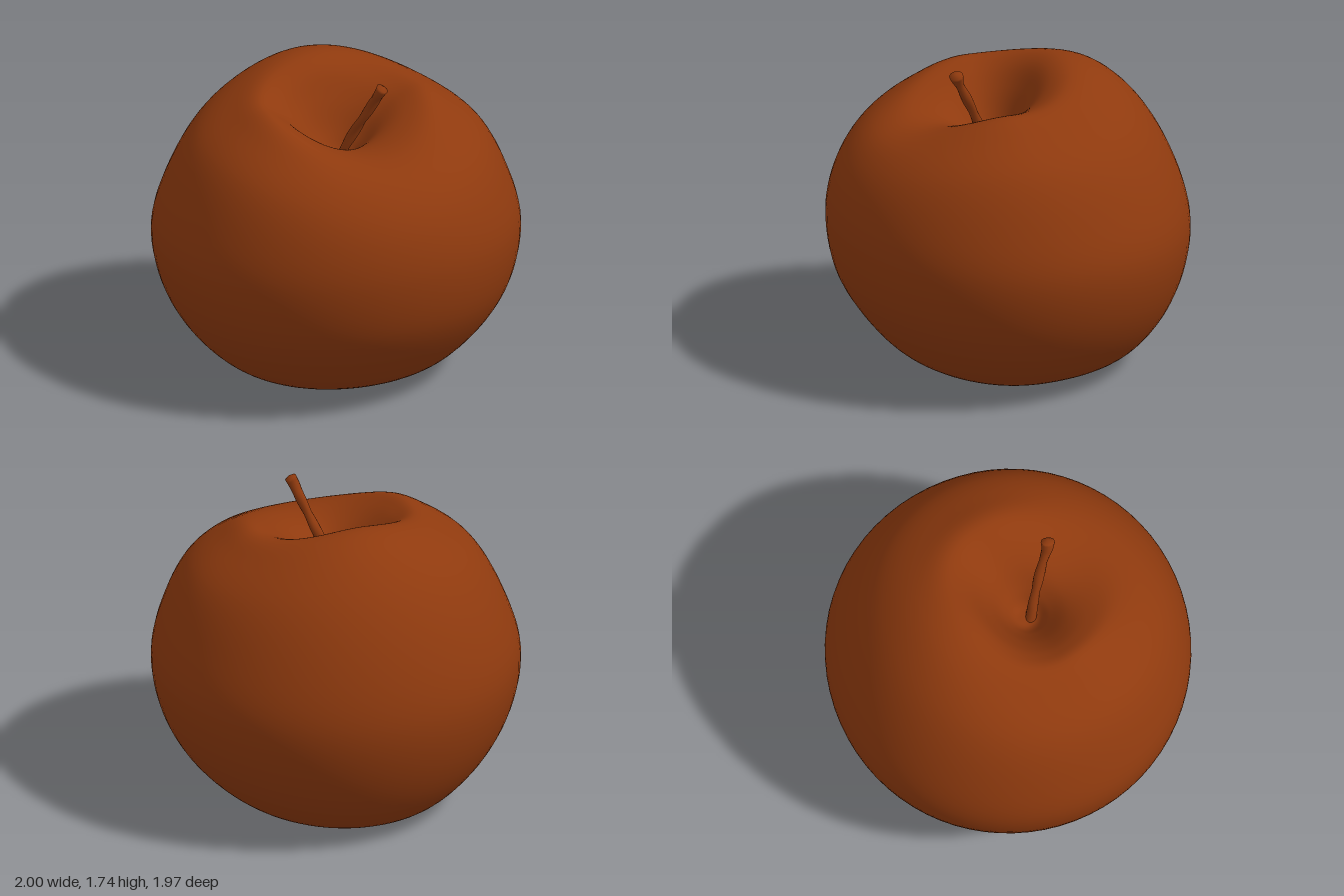
import * as THREE from 'three';
import { mergeVertices } from 'three/addons/utils/BufferGeometryUtils.js';

const skin = new THREE.MeshStandardMaterial({ color: 0x8f3a0e });
skin.name = 'russetBrown';

// Meridian rows from stem hollow to calyx basin:
// centre x, centre z, then [z or x reach, height] for front, back and side
const ROWS = [
  [-0.03, 0.1, [0.1, 1.24], [0.1, 1.24], [0, 1.24]],
  [-0.03, 0.1, [0.16, 1.25], [0.04, 1.26], [0.06, 1.25]],
  [-0.03, 0.1, [0.22, 1.32], [-0.02, 1.34], [0.13, 1.33]],
  [-0.03, 0.1, [0.31, 1.39], [-0.11, 1.51], [0.24, 1.46]],
  [-0.02, 0.09, [0.45, 1.425], [-0.21, 1.65], [0.35, 1.55]],
  [0, 0.08, [0.6, 1.42], [-0.32, 1.695], [0.46, 1.59]],
  [0, 0.06, [0.75, 1.36], [-0.49, 1.655], [0.61, 1.51]],
  [0, 0.04, [0.87, 1.24], [-0.7, 1.48], [0.79, 1.36]],
  [0, 0.02, [0.95, 1.08], [-0.88, 1.18], [0.93, 1.09]],
  [0, 0, [0.985, 0.86], [-0.98, 0.83], [1.0, 0.82]],
  [0, 0, [0.94, 0.57], [-0.95, 0.54], [0.95, 0.53]],
  [0, 0, [0.82, 0.35], [-0.83, 0.26], [0.81, 0.28]],
  [0, 0, [0.62, 0.13], [-0.66, 0.075], [0.6, 0.085]],
  [0, 0, [0.4, 0.025], [-0.46, 0.02], [0.4, 0.01]],
  [-0.03, 0.02, [0.26, 0.025], [-0.24, 0.04], [0.25, 0.03]],
  [-0.04, 0.03, [0.15, 0.1], [-0.1, 0.11], [0.13, 0.1]],
  [-0.04, 0.03, [0.03, 0.15], [0.03, 0.15], [0, 0.15]],
];

// Blend the front, back and side meridians into one curve at a given angle
function meridian(angle) {
  const s = Math.sin(angle), c = Math.cos(angle);
  return new THREE.CatmullRomCurve3(ROWS.map(([cx, cz, front, back, side]) => {
    const end = c >= 0 ? front : back;
    const r = Math.abs(end[0] - cz) * c * c + side[0] * s * s;
    const y = end[1] * c * c + side[1] * s * s;
    return new THREE.Vector3(cx + r * s, y, cz + r * c);
  }));
}

function fruitGeometry(around = 72, along = 96) {
  const pos = [], index = [];
  for (let j = 0; j < around; j++) {
    const curve = meridian((j / around) * Math.PI * 2);
    for (let i = 0; i <= along; i++) pos.push(...curve.getPoint(i / along).toArray());
  }
  const id = (i, j) => (j % around) * (along + 1) + i;
  for (let j = 0; j < around; j++) {
    for (let i = 0; i < along; i++) {
      const a = id(i, j), b = id(i + 1, j), c = id(i + 1, j + 1), d = id(i, j + 1);
      if (i < along - 1) index.push(a, b, c);
      if (i > 0) index.push(a, c, d);
    }
  }
  const geo = new THREE.BufferGeometry();
  geo.setAttribute('position', new THREE.Float32BufferAttribute(pos, 3));
  geo.setIndex(index);
  const merged = mergeVertices(geo, 1e-5);
  merged.computeVertexNormals();
  return merged;
}

// Tube whose thickness follows a rule along its length
function taperedTube(points, steps, sides, thickness) {
  const curve = new THREE.CatmullRomCurve3(points.map((p) => new THREE.Vector3(...p)));
  const geo = new THREE.TubeGeometry(curve, steps, 1, sides);
  const pos = geo.attributes.position, v = new THREE.Vector3();
  for (let i = 0; i < pos.count; i++) {
    const t = Math.floor(i / (sides + 1)) / steps;
    const angle = ((i % (sides + 1)) / sides) * Math.PI * 2;
    const centre = curve.getPointAt(t);
    v.fromBufferAttribute(pos, i).sub(centre).multiplyScalar(thickness(t, angle)).add(centre);
    pos.setXYZ(i, v.x, v.y, v.z);
  }
  geo.deleteAttribute('uv');
  geo.deleteAttribute('normal');
  const merged = mergeVertices(geo, 1e-5);
  merged.computeVertexNormals();
  return merged;
}

export function createModel() {
  const model = new THREE.Group();
  model.name = 'apple';
  const add = (name, geo, parent = model) => {
    const mesh = new THREE.Mesh(geo, skin);
    mesh.name = name;
    parent.add(mesh);
    return mesh;
  };

  add('fruit', fruitGeometry());

  // Leaning woody stem with a knobbly, flared tip
  add('stem', taperedTube(
    [[-0.04, 1.22, 0.12], [-0.01, 1.34, 0.155], [0.04, 1.48, 0.215], [0.09, 1.62, 0.285], [0.115, 1.7, 0.325], [0.135, 1.745, 0.34]],
    40, 12,
    (t, a) => (t >= 1 ? 0 : 0.026 + 0.012 * Math.max(0, t - 0.85) / 0.15
      + 0.008 * Math.max(0, 1 - t * 6) + 0.003 * Math.sin(2 * a + t * 17)),
  ));

  // Withered sepals curling inside the basin underneath
  const calyx = new THREE.Group();
  calyx.name = 'calyx';
  calyx.position.set(-0.04, 0, 0.03);
  for (let k = 0; k < 5; k++) {
    const sepal = add('sepal', taperedTube(
      [[0, 0.14, 0.12], [0.01, 0.075, 0.1], [0.02, 0.05, 0.06], [-0.01, 0.06, 0.01 + 0.01 * (k % 2)]],
      12, 8,
      (t, a) => (t >= 1 ? 0 : (0.032 - 0.02 * t) * (1 + 0.3 * Math.cos(2 * a + k))),
    ), calyx);
    sepal.rotation.y = (k / 5) * Math.PI * 2 + 0.25 * Math.sin(k * 4);
  }
  model.add(calyx);
  return model;
}
